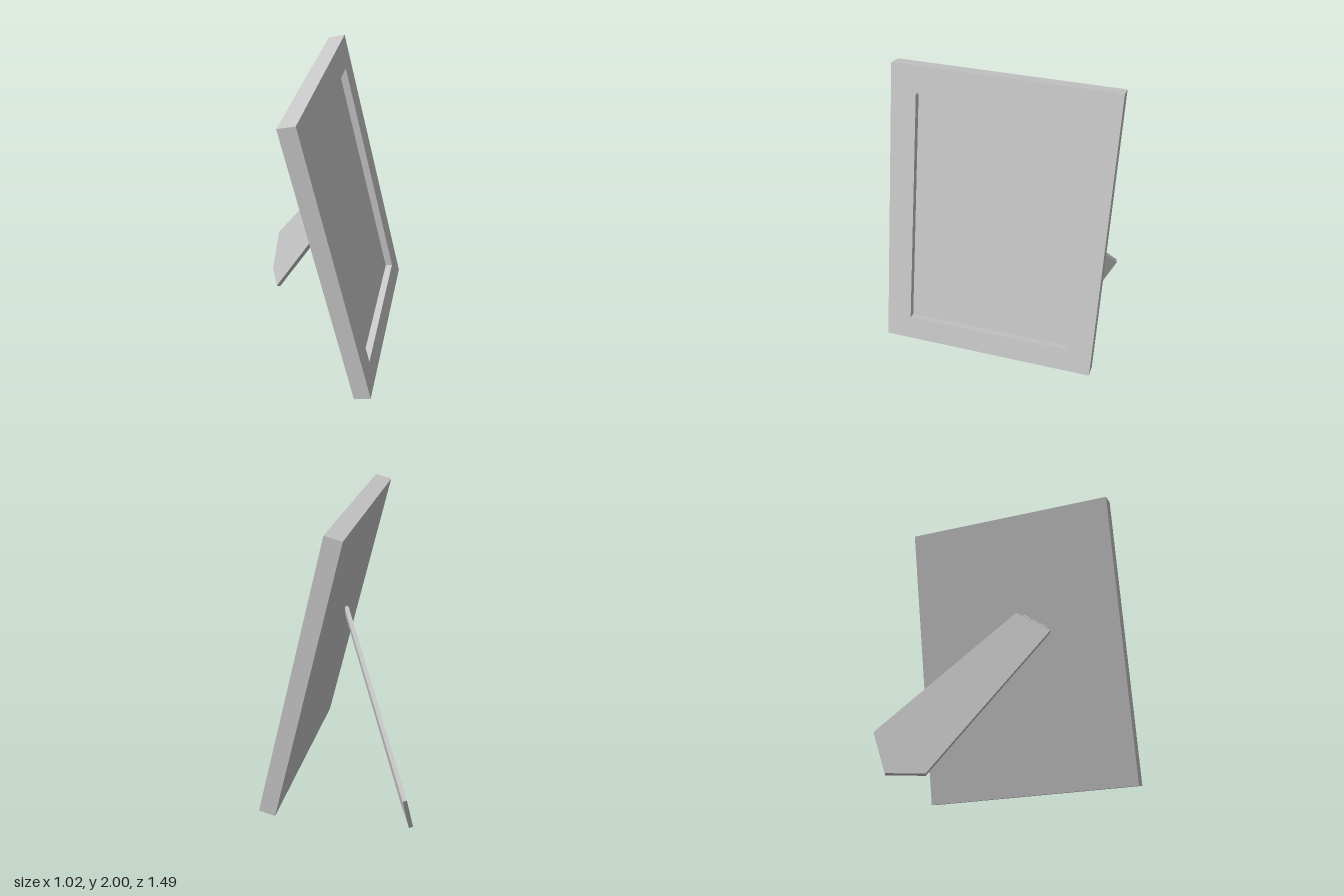
import * as THREE from 'three';

const grey = new THREE.MeshStandardMaterial({ color: 0xcccccc, flatShading: true });
const smooth = new THREE.MeshStandardMaterial({ color: 0xcccccc });

function addMesh(parent, geometry, name, material = grey) {
  const mesh = new THREE.Mesh(geometry, material);
  mesh.name = name;
  parent.add(mesh);
  return mesh;
}

function rectangle(target, x0, y0, x1, y1) {
  target.moveTo(x0, y0).lineTo(x1, y0).lineTo(x1, y1).lineTo(x0, y1).closePath();
  return target;
}

// Group whose local axes are x, y and x cross y, placed at origin
function orientedGroup(name, x, y, origin) {
  const group = new THREE.Group();
  const ax = new THREE.Vector3(...x).normalize();
  const az = ax.clone().cross(new THREE.Vector3(...y)).normalize();
  const ay = az.clone().cross(ax);
  group.applyMatrix4(new THREE.Matrix4().makeBasis(ax, ay, az).setPosition(...origin));
  group.name = name;
  return group;
}

export function createModel() {
  const model = new THREE.Group();
  model.name = 'pictureFrame';

  // Tilted frame: local y runs up the frame, local z out of its front
  const HALF = 0.743, LENGTH = 2.003, DEPTH = 0.115, RECESS = 0.05;
  const hole = { x0: -0.573, x1: 0.567, y0: 0.17, y1: 1.823 };
  const frame = orientedGroup('frame', [0, 0, -1], [-0.24, 0.971, 0], [0.505, 0.055, 0.002]);
  model.add(frame);

  const border = rectangle(new THREE.Shape(), -HALF, 0, HALF, LENGTH);
  border.holes.push(rectangle(new THREE.Path(), hole.x0, hole.y0, hole.x1, hole.y1));
  addMesh(frame, new THREE.ExtrudeGeometry(border, { depth: DEPTH, bevelEnabled: false }), 'border')
    .position.z = -DEPTH;

  // Panel filling the opening, flush with the back
  const panel = addMesh(frame, new THREE.BoxGeometry(
    hole.x1 - hole.x0, hole.y1 - hole.y0, DEPTH - RECESS), 'picturePanel');
  panel.position.set((hole.x0 + hole.x1) / 2, (hole.y0 + hole.y1) / 2, -(DEPTH + RECESS) / 2);

  // Easel leg: local x follows the slanted hinge, local y runs down to the foot
  const easel = orientedGroup('easel', [0.184, -0.536, 0.822], [-0.383, -0.807, -0.441], [0.06, 1.26, 0.02]);
  model.add(easel);
  const outline = [[0, 0], [0.285, 0], [0.252, 1.126], [0.246, 1.39], [0.039, 1.526], [-0.204, 1.334]];
  const leg = new THREE.Shape(outline.map(([x, y]) => new THREE.Vector2(x, y)));
  addMesh(easel, new THREE.ExtrudeGeometry(leg, { depth: 0.028, bevelEnabled: false }), 'easelLeg');

  // Hinge: pin with three knuckles along the top edge of the leg
  const hinge = new THREE.Group();
  hinge.name = 'hinge';
  hinge.position.set(0.15, -0.008, 0.014);
  hinge.rotation.z = Math.PI / 2;
  easel.add(hinge);
  addMesh(hinge, new THREE.CylinderGeometry(0.009, 0.009, 0.2, 12), 'hingePin', smooth);
  for (const i of [-1, 0, 1]) {
    addMesh(hinge, new THREE.CylinderGeometry(0.014, 0.014, 0.058, 16), 'hingeKnuckle', smooth)
      .position.y = i * 0.064;
  }
  return model;
}
